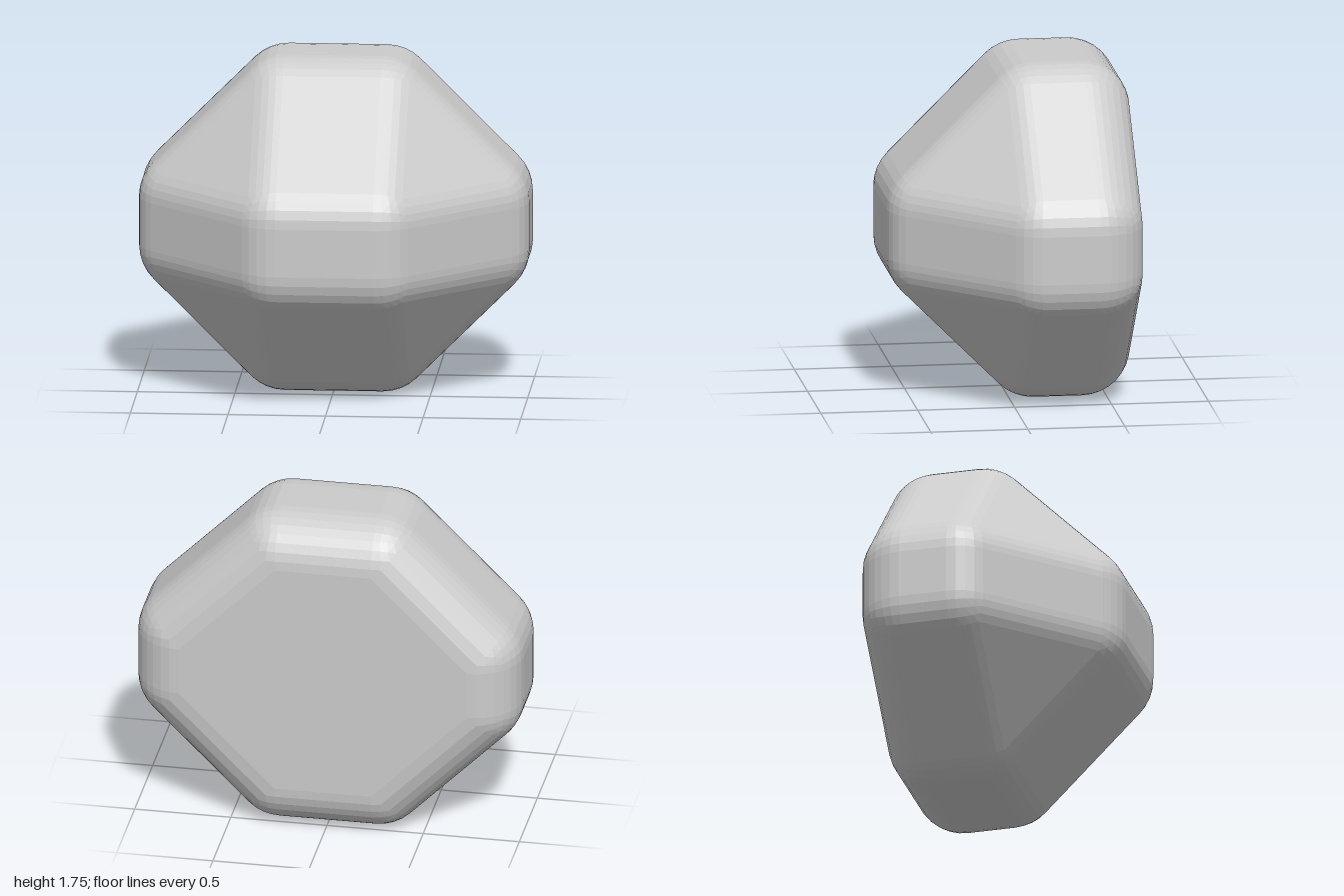
import * as THREE from 'three';
import { ConvexGeometry } from 'three/addons/geometries/ConvexGeometry.js';

const RADIUS = 0.25; // edge rounding
const STEPS = 4;     // facets per 45 degrees of rounding

// Corners of the sharp inner solid, mirrored in x and y
function coreCorners() {
  const corners = [];
  for (const sx of [-1, 1]) {
    for (const sy of [-1, 1]) {
      for (const z of [-0.375, -0.125]) {
        corners.push(new THREE.Vector3(sx * 0.25, sy * 0.625, z)); // top and bottom
        corners.push(new THREE.Vector3(sx * 0.75, sy * 0.125, z)); // sides
      }
      corners.push(new THREE.Vector3(sx * 0.25, sy * 0.125, 0.375)); // front
    }
  }
  return corners;
}

// Directions on a cube-shaped grid, so that grid lines follow the solid's edges
function roundingDirections() {
  const found = new Map();
  for (let axis = 0; axis < 3; axis++) {
    for (const side of [-1, 1]) {
      for (let i = -STEPS; i <= STEPS; i++) {
        for (let j = -STEPS; j <= STEPS; j++) {
          const c = [0, 0, 0];
          c[axis] = side;
          c[(axis + 1) % 3] = Math.tan((i / STEPS) * Math.PI / 4);
          c[(axis + 2) % 3] = Math.tan((j / STEPS) * Math.PI / 4);
          const key = c.map((v) => Math.round(v * 1000)).join();
          found.set(key, new THREE.Vector3(...c).normalize());
        }
      }
    }
  }
  return [...found.values()];
}

// Offset each direction from every corner that lies furthest along it
function roundedSolid() {
  const corners = coreCorners();
  const points = [];
  for (const dir of roundingDirections()) {
    const reach = Math.max(...corners.map((c) => c.dot(dir)));
    for (const c of corners) {
      if (c.dot(dir) > reach - 1e-6) points.push(c.clone().addScaledVector(dir, RADIUS));
    }
  }
  return new ConvexGeometry(points);
}

export function createModel() {
  const group = new THREE.Group();
  group.name = 'roundedBevelBlock';
  const material = new THREE.MeshStandardMaterial({ color: 0xcccccc, flatShading: true });
  const body = new THREE.Mesh(roundedSolid(), material);
  body.name = 'body';
  body.position.y = 0.875;
  group.add(body);
  return group;
}
